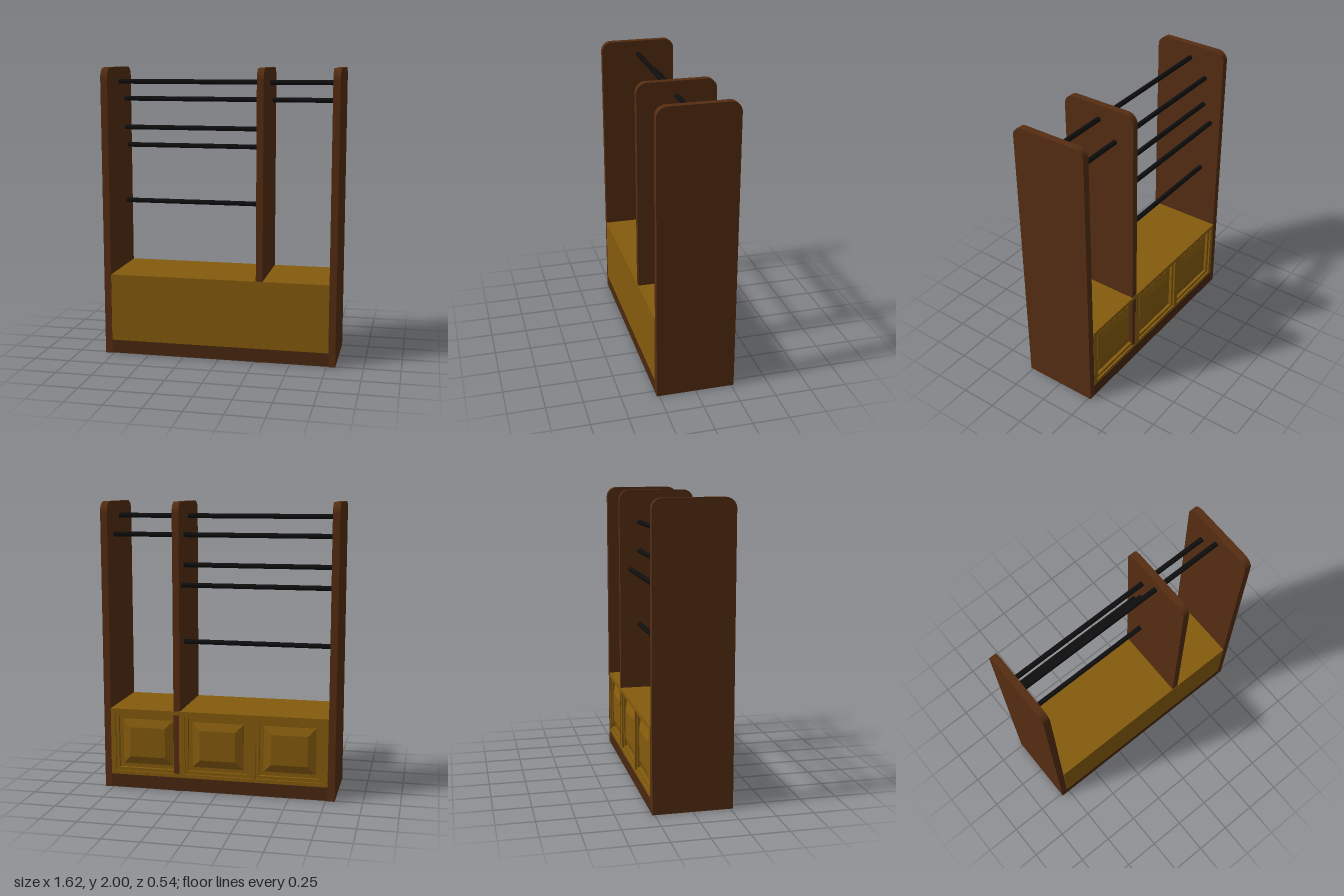
import * as THREE from 'three';

const wood = new THREE.MeshStandardMaterial({ color: 0x552d12 });
const darkWood = new THREE.MeshStandardMaterial({ color: 0x4a2810 });
const oak = new THREE.MeshStandardMaterial({ color: 0x855b0d });
const black = new THREE.MeshStandardMaterial({ color: 0x0e0e0e });

function add(parent, name, geometry, material, x = 0, y = 0, z = 0) {
  const mesh = new THREE.Mesh(geometry, material);
  mesh.name = name;
  mesh.position.set(x, y, z);
  parent.add(mesh);
  return mesh;
}

function rect(Type, cx, cy, w, h) {
  const [x, y] = [w / 2, h / 2];
  return new Type([[-x, -y], [x, -y], [x, y], [-x, y]].map(([a, b]) => new THREE.Vector2(cx + a, cy + b)));
}

// Upright board with rounded top corners, from x0 to x1
function uprightGeometry(thickness) {
  const d = 0.267, r = 0.07;
  const s = new THREE.Shape();
  s.moveTo(-d, 0);
  s.lineTo(d, 0);
  s.lineTo(d, 2 - r);
  s.absarc(d - r, 2 - r, r, 0, Math.PI / 2, false);
  s.absarc(-d + r, 2 - r, r, Math.PI / 2, Math.PI, false);
  s.closePath();
  const g = new THREE.ExtrudeGeometry(s, { depth: thickness, bevelEnabled: false, curveSegments: 8 });
  return g.rotateY(Math.PI / 2);
}

// Flat layer with one opening per door, facing the back
function frameLayer(doors, w, h, inset, depth) {
  const s = rect(THREE.Shape, 0, 0, w, h);
  for (const d of doors) s.holes.push(rect(THREE.Path, d.x, 0, d.w - inset * 2, d.h - inset * 2));
  return new THREE.ExtrudeGeometry(s, { depth, bevelEnabled: false });
}

export function createModel() {
  const model = new THREE.Group();
  model.name = 'clothesRack';

  // Side boards and divider
  const uprights = [['rightSide', -0.813, -0.765], ['divider', 0.263, 0.309], ['leftSide', 0.763, 0.811]];
  for (const [name, x0, x1] of uprights) add(model, name, uprightGeometry(x1 - x0), wood, x0);

  // Plinth and cabinet body
  const W = 1.526, H = 0.472, midY = 0.333;
  add(model, 'plinth', new THREE.BoxGeometry(1.53, 0.094, 0.535), darkWood, 0, 0.05, 0);
  add(model, 'cabinetBody', new THREE.BoxGeometry(W, H, 0.506), oak, 0, midY, 0.017);

  // Stepped frames and raised door panels on the back of the cabinet
  const doors = [-0.5, 0, 0.5].map((x) => ({ x, w: 0.46, h: 0.42 }));
  const back = new THREE.Group();
  back.name = 'cabinetDoors';
  back.position.set(0, midY, 0);
  model.add(back);
  add(back, 'outerFrame', frameLayer(doors, W, H, 0, 0.014), oak, 0, 0, -0.27);
  add(back, 'innerFrame', frameLayer(doors, W, H, 0.022, 0.022), oak, 0, 0, -0.257);
  for (const d of doors) {
    const panel = new THREE.ExtrudeGeometry(rect(THREE.Shape, 0, 0, 0.25, 0.21), {
      depth: 0.01, bevelEnabled: true, bevelSize: 0.055, bevelThickness: 0.022, bevelSegments: 1,
    });
    add(back, 'raisedPanel', panel, oak, d.x, 0, -0.24);
  }

  // Hanging rods: [height, z, reaches the left side too]
  const rods = [[1.9, 0, true], [1.775, -0.125, true], [1.57, -0.125, false], [1.437, -0.19, false], [1.038, -0.125, false]];
  const rod = (x0, x1, y, z) => add(model, 'rod',
    new THREE.CylinderGeometry(0.017, 0.017, x1 - x0, 20).rotateZ(Math.PI / 2), black, (x0 + x1) / 2, y, z);
  for (const [y, z, both] of rods) {
    rod(-0.768, 0.266, y, z);
    if (both) rod(0.306, 0.766, y, z);
  }
  return model;
}
